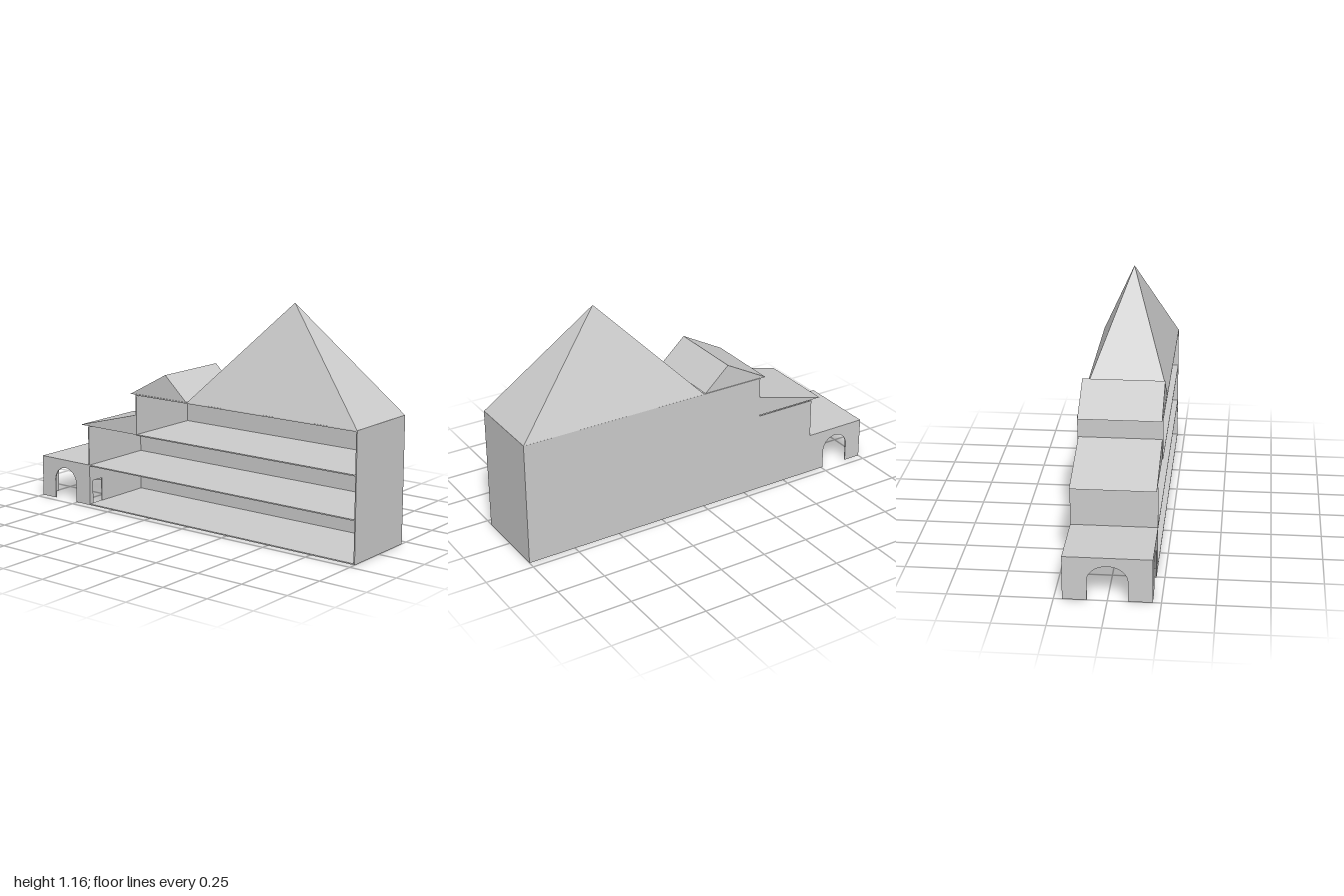
import * as THREE from 'three';

const material = new THREE.MeshStandardMaterial({ color: 0xcccccc, flatShading: true });
const T = 0.006; // panel thickness
const D = 0.21; // half depth

export function createModel() {
  const house = new THREE.Group();
  house.name = 'openFrontedHouse';

  const add = (name, geometry) => {
    const mesh = new THREE.Mesh(geometry, material);
    mesh.name = name;
    house.add(mesh);
    return mesh;
  };

  // Box given by its lower and upper corners
  const box = (name, x0, x1, y0, y1, z0, z1) =>
    add(name, new THREE.BoxGeometry(x1 - x0, y1 - y0, z1 - z0))
      .position.set((x0 + x1) / 2, (y0 + y1) / 2, (z0 + z1) / 2);

  // Solid roof: triangle in x and y, stretched through the depth
  const prism = (name, points, half) => {
    const shape = new THREE.Shape(points.map(([x, y]) => new THREE.Vector2(x, y)));
    const geometry = new THREE.ExtrudeGeometry(shape, { depth: 2 * half, bevelEnabled: false });
    geometry.translate(0, 0, -half);
    add(name, geometry);
  };

  // Upright panel centred on its own x, with an arch cut up from the ground
  const archPanel = (name, width, height, archWidth, spring, rise) => {
    const w = width / 2, a = archWidth / 2;
    const shape = new THREE.Shape();
    shape.moveTo(-w, 0);
    shape.lineTo(-a, 0);
    shape.lineTo(-a, spring);
    shape.absellipse(0, spring, a, rise, Math.PI, 0, true);
    shape.lineTo(a, 0);
    shape.lineTo(w, 0);
    shape.lineTo(w, height);
    shape.lineTo(-w, height);
    return add(name, new THREE.ExtrudeGeometry(shape, { depth: T, bevelEnabled: false, curveSegments: 16 }));
  };

  // Storeys, open at the front: floor, back wall and right-hand end wall
  const storeys = [
    { name: 'ground', left: -0.665, y0: 0, y1: 0.212 },
    { name: 'middle', left: -0.665, y0: 0.212, y1: 0.425 },
    { name: 'upper', left: -0.335, y0: 0.425, y1: 0.635 },
  ];
  for (const { name, left, y0, y1 } of storeys) {
    box(name + 'Floor', left, 1, y0, y0 + T, -D, D);
    box(name + 'BackWall', left, 1, y0, y1, -D, -D + T);
    box(name + 'EndWall', 1 - T, 1, y0, y1, -D, D);
    if (name !== 'ground') box(name + 'StepWall', left, left + T, y0, y1, -D, D);
  }
  box('atticFloor', -0.335, 1, 0.635, 0.641, -D, D);

  // Ground floor wall towards the porch, with a small doorway near the front
  const doorWall = (name, y0, y1, z0, z1) => box(name, -0.665, -0.665 + T, y0, y1, z0, z1);
  doorWall('doorWallBack', 0, 0.212, -D, 0.115);
  doorWall('doorWallFront', 0, 0.212, 0.185, D);
  doorWall('doorLintel', 0.13, 0.212, 0.115, 0.185);

  // Porch: flat roof on three arched walls
  box('porchRoof', -1, -0.665, 0.212, 0.218, -D, D);
  for (const [name, z] of [['porchFrontArch', D - T], ['porchBackArch', -D]]) {
    archPanel(name, 0.335, 0.212, 0.15, 0.1, 0.075).position.set(-0.8325, 0, z);
  }
  const sideArch = archPanel('porchSideArch', 2 * D, 0.212, 0.19, 0.1, 0.075);
  sideArch.rotation.y = Math.PI / 2;
  sideArch.position.x = -1;

  // Lean-to roof, small gable roof and tall pyramid roof
  prism('leanToRoof', [[-0.72, 0.428], [-0.335, 0.428], [-0.335, 0.532]], 0.206);
  prism('gableRoof', [[-0.37, 0.638], [-0.005, 0.638], [-0.14, 0.762]], 0.206);
  const pyramid = new THREE.ConeGeometry(Math.SQRT1_2, 0.52, 4, 1).toNonIndexed();
  pyramid.rotateY(Math.PI / 4);
  pyramid.scale(1, 1, 2 * D);
  pyramid.computeVertexNormals();
  add('pyramidRoof', pyramid).position.set(0.5, 0.9, 0);

  return house;
}
